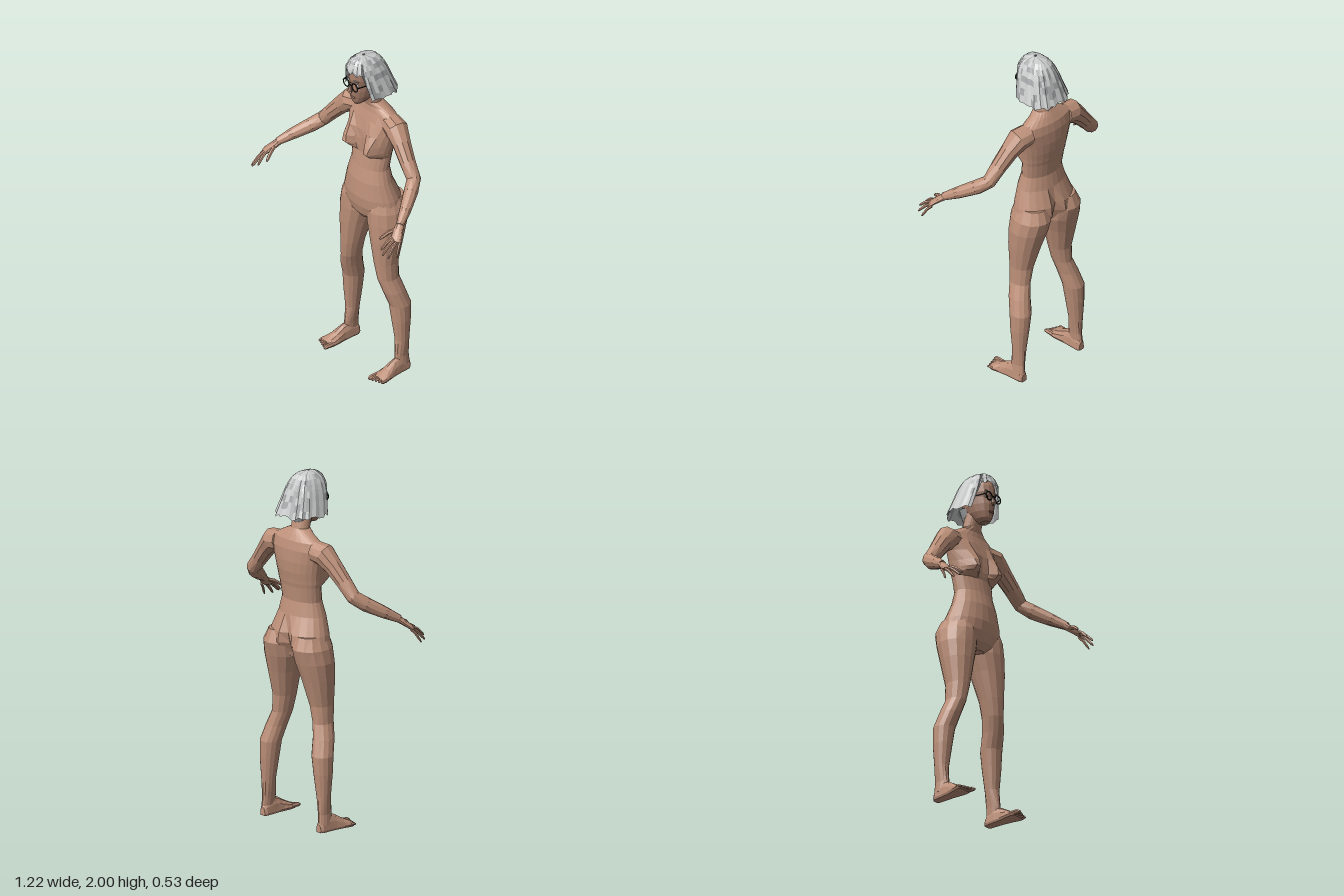
import * as THREE from 'three';

const mat = (name, color, extra = {}) => Object.assign(new THREE.MeshStandardMaterial({ color, ...extra }), { name });
const V = (x, y, z) => new THREE.Vector3(x, y, z);

// Faceted geometry from a flat list of triangle corners
function facets(points) {
  const g = new THREE.BufferGeometry().setFromPoints(points);
  g.computeVertexNormals();
  return g;
}

// Closed skin over a run of rings, capped at both ends
function skin(rings) {
  const out = [], n = rings[0].length;
  for (let j = 0; j + 1 < rings.length; j++) {
    for (let i = 0; i < n; i++) {
      const k = (i + 1) % n, a = rings[j], b = rings[j + 1];
      out.push(a[i], a[k], b[i], a[k], b[k], b[i]);
    }
  }
  const mid = r => r.reduce((s, p) => s.add(p), V(0, 0, 0)).divideScalar(n);
  const first = rings[0], last = rings[rings.length - 1], c0 = mid(first), c1 = mid(last);
  for (let i = 0; i < n; i++) {
    const k = (i + 1) % n;
    out.push(c0, first[k], first[i], c1, last[i], last[k]);
  }
  return facets(out);
}

// Horizontal sections, bottom to top: [y, xMin, xMax, zFront, zBack, bust, cleft]
function stack(rows, n) {
  return skin(rows.map(([y, x0, x1, zf, zb, bust = 0, cleft = 0]) =>
    Array.from({ length: n }, (_, i) => {
      const a = i / n * Math.PI * 2, s = Math.sin(a), c = Math.cos(a);
      const x = (x0 + x1) / 2 + (x1 - x0) / 2 * s;
      let z = (zf + zb) / 2 + (zf - zb) / 2 * c;
      if (c > 0) z += bust * Math.exp(-(((Math.abs(x) - 0.095) / 0.04) ** 2));
      else z += cleft * Math.exp(-((x / 0.03) ** 2));
      return V(x, y, z);
    })));
}
const symmetric = rows => rows.map(([y, w, ...rest]) => [y, -w, w, ...rest]);

// Tapered limb along points [x, y, z, width radius, thickness radius]
function limb(path, n) {
  const p = path.map(q => V(q[0], q[1], q[2]));
  return skin(p.map((c, j) => {
    const d = p[Math.min(j + 1, p.length - 1)].clone().sub(p[Math.max(j - 1, 0)]).normalize();
    const u = d.clone().cross(V(0, 1, 0)).normalize(), v = d.clone().cross(u);
    const ru = path[j][3], rv = path[j][4] ?? ru;
    return Array.from({ length: n }, (_, i) => {
      const a = i / n * Math.PI * 2;
      return c.clone().addScaledVector(u, ru * Math.cos(a)).addScaledVector(v, rv * Math.sin(a));
    });
  }));
}

// Mirror across x, keeping faces outward
function mirrored(geo) {
  const g = geo.index ? geo.toNonIndexed() : geo, p = g.attributes.position, out = [];
  for (let i = 0; i < p.count; i += 3)
    for (const k of [0, 2, 1]) out.push(V(-p.getX(i + k), p.getY(i + k), p.getZ(i + k)));
  return facets(out);
}

export function createModel() {
  const model = new THREE.Group();
  model.name = 'figure';
  const skinTone = mat('skin', 0xbd9079), faceTone = mat('faceSkin', 0xa67d69);
  const lip = mat('lips', 0x87574c), white = mat('eyeWhite', 0xe6e2dc), black = mat('frameBlack', 0x1c1a1a);
  const hairLight = mat('hairLight', 0xcbcccc, { side: THREE.DoubleSide });
  const hairDark = mat('hairGrey', 0xa3a5a6, { side: THREE.DoubleSide });
  const add = (name, geo, m) => {
    const mesh = new THREE.Mesh(geo, m);
    mesh.name = name;
    model.add(mesh);
  };
  const pair = (name, geo, m) => {
    add('left' + name, geo, m);
    add('right' + name, mirrored(geo), m);
  };

  // Torso and neck
  add('torso', stack(symmetric([
    [0.94, 0.05, -0.05, -0.16], [0.98, 0.15, -0.02, -0.22, 0, 0.05],
    [1.04, 0.2, -0.005, -0.255, 0, 0.05], [1.1, 0.188, 0, -0.248, 0, 0.03],
    [1.2, 0.155, -0.01, -0.205], [1.28, 0.132, -0.03, -0.19],
    [1.365, 0.14, -0.045, -0.2], [1.388, 0.145, -0.045, -0.205, 0.055],
    [1.41, 0.148, -0.045, -0.208, 0.08], [1.45, 0.155, -0.045, -0.215, 0.068],
    [1.51, 0.168, -0.048, -0.22, 0.03], [1.58, 0.19, -0.065, -0.218, 0.005],
    [1.63, 0.172, -0.08, -0.208], [1.662, 0.11, -0.085, -0.19],
    [1.69, 0.056, -0.075, -0.172], [1.79, 0.05, -0.04, -0.15],
  ]), 24), skinTone);

  // Legs
  pair('Leg', stack([
    [0.04, 0.195, 0.246, -0.11, -0.2], [0.1, 0.19, 0.241, -0.105, -0.197],
    [0.2, 0.175, 0.25, -0.115, -0.2], [0.33, 0.155, 0.258, -0.1, -0.212],
    [0.43, 0.14, 0.258, -0.09, -0.216], [0.52, 0.125, 0.236, -0.06, -0.19],
    [0.6, 0.105, 0.208, -0.04, -0.17], [0.7, 0.08, 0.205, -0.03, -0.175],
    [0.85, 0.04, 0.22, -0.02, -0.215], [0.95, 0.008, 0.225, -0.018, -0.245],
    [1.03, 0.006, 0.214, -0.02, -0.265], [1.1, 0.03, 0.182, -0.04, -0.238],
  ], 14), skinTone);

  // Feet: sections from heel to ball as [z, centre x, half width, top], flat underneath
  const foot = [[-0.2, 0.216, 0.018, 0.05], [-0.185, 0.217, 0.028, 0.075], [-0.13, 0.218, 0.031, 0.1],
    [-0.09, 0.22, 0.034, 0.085], [-0.04, 0.222, 0.043, 0.056], [0.0, 0.226, 0.05, 0.036], [0.022, 0.227, 0.046, 0.024]];
  pair('Foot', skin(foot.map(([z, x, w, top]) => Array.from({ length: 12 }, (_, i) => {
    const a = i / 12 * Math.PI * 2, s = Math.sin(a);
    return V(x + w * Math.cos(a), s > 0.1 ? 0.012 + (top - 0.012) * s : s < -0.1 ? 0 : 0.012, z);
  }))), skinTone);
  for (let i = 0; i < 5; i++) {
    const x = 0.189 + i * 0.0195, r = i ? 0.009 : 0.013, tip = 0.06 - i * 0.007;
    pair('Toe' + (i + 1), limb([[x, 0.016, -0.005, r], [x + 0.001, 0.015, tip - 0.015, r],
      [x + 0.002, 0.009, tip, r * 0.6]], 6), skinTone);
  }

  // Arms and palms
  pair('Arm', limb([
    [0.13, 1.585, -0.145, 0.06], [0.195, 1.575, -0.135, 0.066], [0.255, 1.515, -0.122, 0.052],
    [0.32, 1.44, -0.108, 0.045], [0.385, 1.365, -0.098, 0.04], [0.425, 1.322, -0.045, 0.041],
    [0.485, 1.267, 0.045, 0.033], [0.525, 1.225, 0.115, 0.022],
  ], 10), skinTone);
  pair('Palm', limb([[0.515, 1.235, 0.098, 0.021, 0.02], [0.535, 1.205, 0.135, 0.029, 0.017],
    [0.56, 1.172, 0.172, 0.032, 0.013], [0.564, 1.164, 0.181, 0.025, 0.008]], 10), skinTone);

  // Fingers as [name, knuckle, tip, radius]
  for (const [name, k, t, r] of [
    ['Thumb', [0.518, 1.205, 0.145], [0.485, 1.16, 0.225], 0.011],
    ['IndexFinger', [0.54, 1.18, 0.182], [0.53, 1.122, 0.25], 0.0095],
    ['MiddleFinger', [0.553, 1.175, 0.178], [0.56, 1.108, 0.266], 0.0095],
    ['RingFinger', [0.567, 1.17, 0.167], [0.586, 1.092, 0.248], 0.009],
    ['LittleFinger', [0.578, 1.167, 0.153], [0.605, 1.09, 0.203], 0.008],
  ]) {
    const at = (f, lift, s) => [...k.map((c, i) => c + (t[i] - c) * f + (i === 1 ? lift : 0)), r * s];
    pair(name, limb([at(0, 0, 1), at(0.45, 0.008, 1), at(0.85, 0.003, 0.85), at(1, 0, 0.45)], 6), skinTone);
  }

  // Head and face
  add('head', stack(symmetric([
    [1.705, 0.02, 0.002, -0.06], [1.725, 0.04, 0.014, -0.1], [1.76, 0.057, 0.021, -0.14],
    [1.8, 0.067, 0.026, -0.17], [1.84, 0.072, 0.022, -0.18], [1.87, 0.075, 0.03, -0.185],
    [1.91, 0.073, 0.026, -0.18], [1.95, 0.058, 0.004, -0.15], [1.975, 0.03, -0.03, -0.11],
  ]), 18), faceTone);
  add('nose', limb([[0, 1.85, 0.02, 0.007], [0, 1.825, 0.03, 0.009], [0, 1.803, 0.037, 0.016, 0.014],
    [0, 1.79, 0.034, 0.01, 0.008]], 8), faceTone);
  const blob = (x, y, z, sx, sy, sz) => new THREE.SphereGeometry(1, 10, 6).scale(sx, sy, sz).translate(x, y, z);
  add('lips', blob(0, 1.756, 0.018, 0.022, 0.007, 0.007), lip);
  pair('Eye', blob(0.033, 1.84, 0.011, 0.014, 0.007, 0.008), white);
  pair('Pupil', blob(0.033, 1.84, 0.017, 0.006, 0.006, 0.004), black);
  pair('Brow', new THREE.BoxGeometry(0.032, 0.005, 0.007).rotateY(0.3).translate(0.034, 1.872, 0.021), hairDark);

  // Spectacles
  pair('Rim', new THREE.TorusGeometry(0.024, 0.0035, 6, 18).translate(0.036, 1.838, 0.032), black);
  pair('Temple', new THREE.BoxGeometry(0.004, 0.005, 0.11).rotateY(-0.16).translate(0.07, 1.845, -0.02), black);
  add('bridge', new THREE.BoxGeometry(0.026, 0.005, 0.005).translate(0, 1.842, 0.036), black);

  // Bobbed hair: outline by height [y, half width, zFront, zBack]
  const outline = [[2, 0.006, -0.055, -0.068], [1.992, 0.04, -0.008, -0.13], [1.97, 0.068, 0.018, -0.158],
    [1.93, 0.09, 0.036, -0.188], [1.89, 0.104, 0.038, -0.203], [1.83, 0.122, 0.034, -0.226], [1.74, 0.148, 0.02, -0.262]];
  const section = y => {
    let j = 0;
    while (j < outline.length - 2 && y < outline[j + 1][0]) j++;
    const [a, b] = [outline[j], outline[j + 1]], t = (a[0] - y) / (a[0] - b[0]);
    return a.map((v, i) => v + (b[i] - v) * t);
  };
  let seed = 7;
  const random = () => (seed = (seed * 16807) % 2147483647) / 2147483647;
  const strands = 40, steps = 8, soft = v => Math.sign(v) * Math.abs(v) ** 0.8;
  const columns = Array.from({ length: strands }, (_, i) => {
    const a = i / strands * Math.PI * 2, front = Math.cos(a) > 0.68;
    const bottom = (front ? 1.905 : 1.755) + random() * 0.025, ripple = i % 2 ? 1 : 0.965;
    return Array.from({ length: steps + 1 }, (_, j) => {
      const [y, w, zf, zb] = section(2 - (2 - bottom) * (j / steps) ** 1.4);
      return V(w * ripple * soft(Math.sin(a)), y, (zf + zb) / 2 + (zf - zb) / 2 * ripple * soft(Math.cos(a)));
    });
  });
  const light = [], dark = [];
  columns.forEach((c, i) => {
    const d = columns[(i + 1) % strands];
    for (let j = 0; j < steps; j++)
      (random() < 0.3 ? dark : light).push(c[j], c[j + 1], d[j], c[j + 1], d[j + 1], d[j]);
  });
  add('hairLightStrands', facets(light), hairLight);
  add('hairGreyStrands', facets(dark), hairDark);
  add('napeHair', stack(symmetric([[1.715, 0.03, -0.12, -0.16], [1.75, 0.05, -0.09, -0.175],
    [1.8, 0.065, -0.08, -0.19]]), 12), hairDark);

  return model;
}
